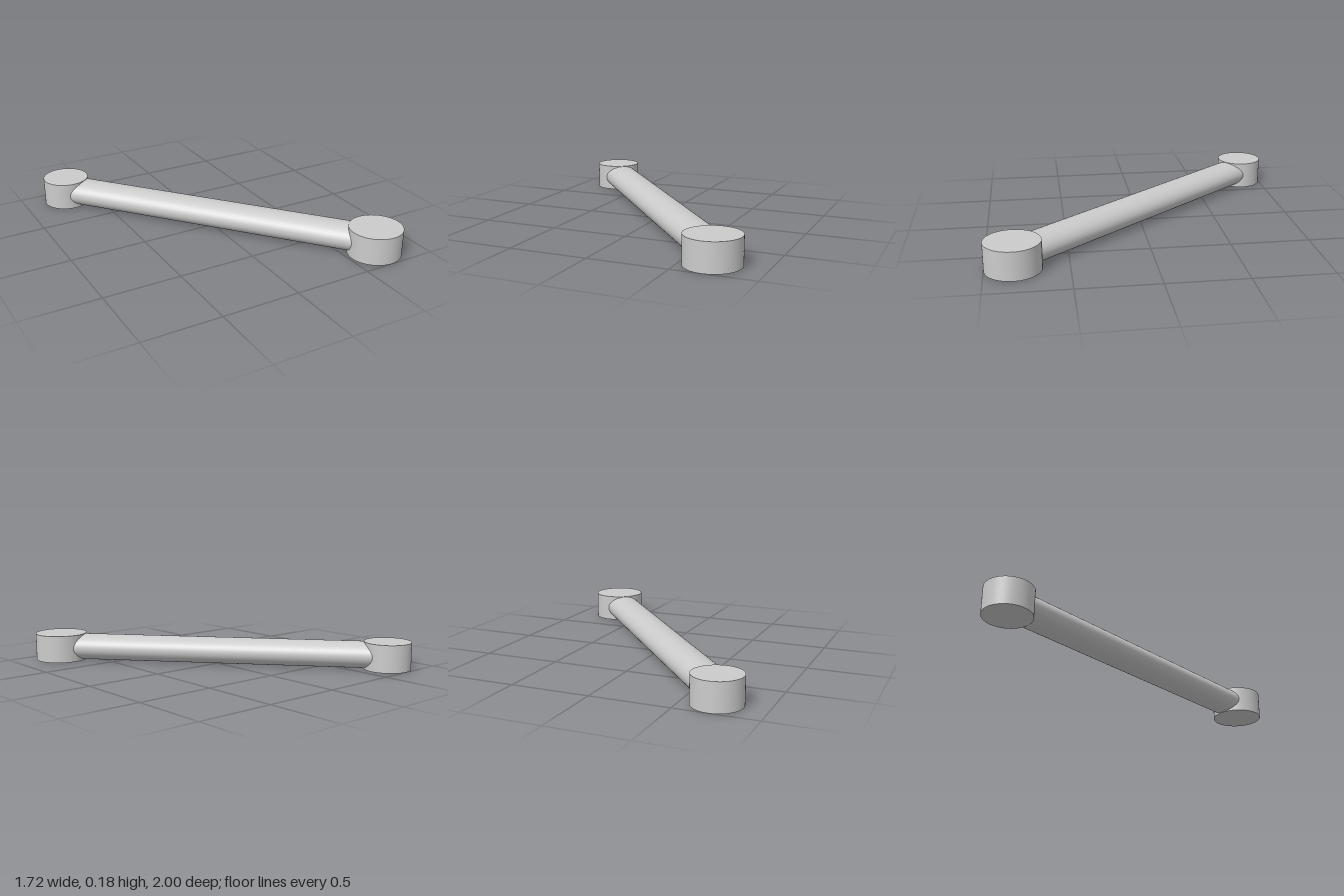
import * as THREE from 'three';

export function createModel() {
  const group = new THREE.Group();
  const material = new THREE.MeshStandardMaterial({ color: 0xcccccc });
  const height = 0.178;
  const smallEnd = new THREE.Vector3(-0.708, height / 2, -0.848);
  const largeEnd = new THREE.Vector3(0.688, height / 2, 0.83);

  // Upright round bosses at both ends
  const addBoss = (name, radius, position) => {
    const boss = new THREE.Mesh(new THREE.CylinderGeometry(radius, radius, height, 64), material);
    boss.name = name;
    boss.position.copy(position);
    group.add(boss);
  };
  addBoss('smallBoss', 0.152, smallEnd);
  addBoss('largeBoss', 0.17, largeEnd);

  // Connecting arm with an oval section, wider than it is tall
  const armGeometry = new THREE.CylinderGeometry(1, 1, smallEnd.distanceTo(largeEnd), 64);
  armGeometry.rotateX(Math.PI / 2);
  armGeometry.scale(0.117, 0.086, 1);
  const arm = new THREE.Mesh(armGeometry, material);
  arm.name = 'connectingArm';
  arm.position.copy(smallEnd).lerp(largeEnd, 0.5);
  arm.lookAt(largeEnd);
  group.add(arm);

  return group;
}
